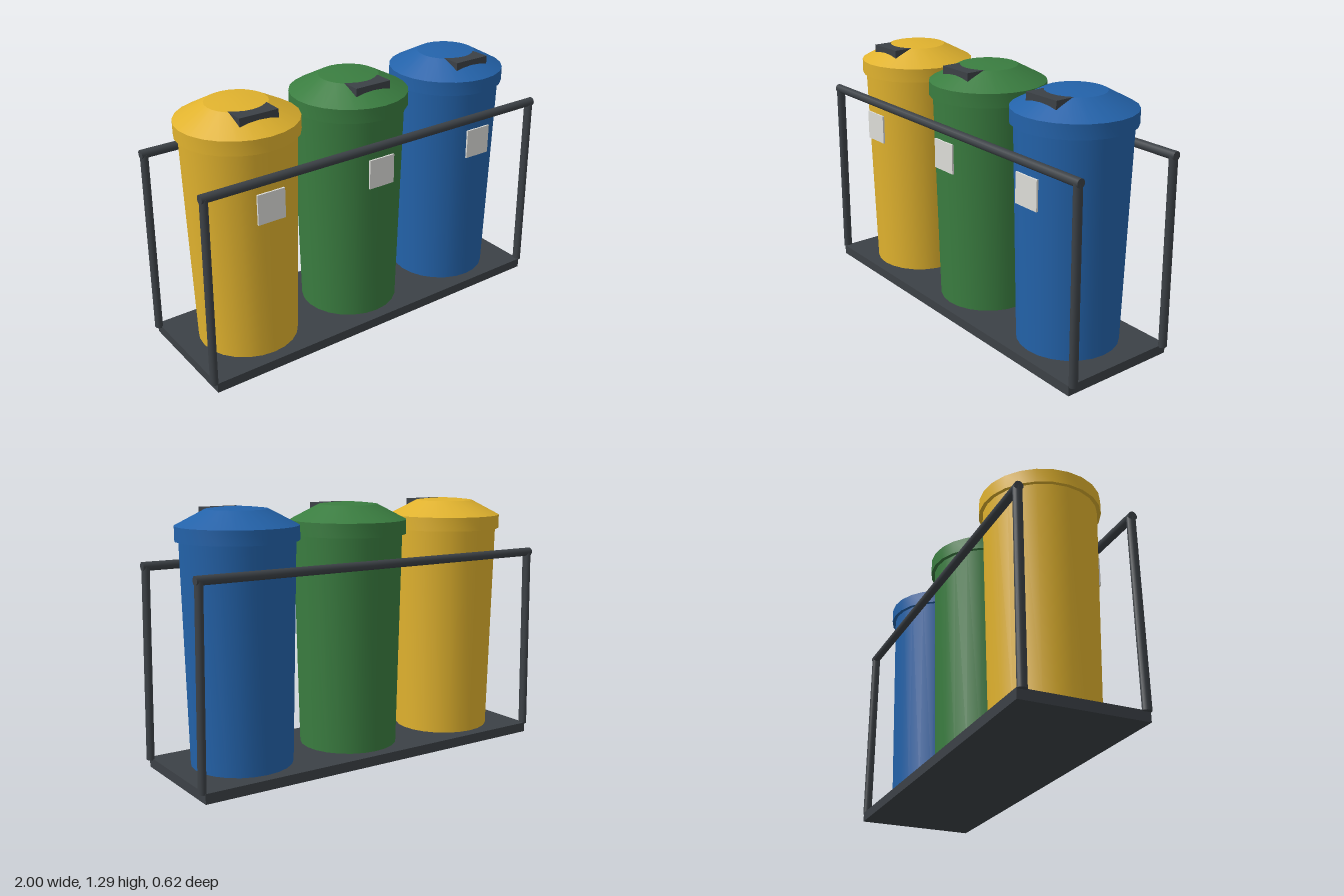
import * as THREE from 'three';
import { toCreasedNormals } from 'three/addons/utils/BufferGeometryUtils.js';

const material = (name, color) => {
  const m = new THREE.MeshStandardMaterial({ color });
  m.name = name;
  return m;
};

function addMesh(parent, name, geometry, mat, x = 0, y = 0, z = 0) {
  const mesh = new THREE.Mesh(geometry, mat);
  mesh.name = name;
  mesh.position.set(x, y, z);
  parent.add(mesh);
  return mesh;
}

// Turned shape, smooth around and sharp at the profile corners
const turned = (profile) => toCreasedNormals(
  new THREE.LatheGeometry(profile.map(([r, y]) => new THREE.Vector2(r, y)), 24), 0.33);

// Straight round bar between two points
function addBar(parent, name, from, to, radius, mat) {
  const a = new THREE.Vector3(...from), b = new THREE.Vector3(...to);
  const dir = b.clone().sub(a);
  const bar = addMesh(parent, name, new THREE.CylinderGeometry(radius, radius, dir.length(), 16), mat);
  bar.position.copy(a).add(b).multiplyScalar(0.5);
  bar.quaternion.setFromUnitVectors(new THREE.Vector3(0, 1, 0), dir.normalize());
  return bar;
}

export function createModel() {
  const model = new THREE.Group();
  model.name = 'recyclingStation';

  const darkGrey = material('dark grey metal', 0x3c4146);
  const labelGrey = material('label grey', 0xdcdcd8);
  const binColors = [
    material('yellow plastic', 0xe0b22e),
    material('green plastic', 0x3a7d40),
    material('blue plastic', 0x2362a9),
  ];

  // Base plate
  addMesh(model, 'basePlate', new THREE.BoxGeometry(1.95, 0.05, 0.62), darkGrey, 0, 0.025, 0);

  // Front and back frames: leaning posts and a top rail
  for (const [side, z] of [['front', 0.288], ['back', -0.288]]) {
    const frame = new THREE.Group();
    frame.name = side + 'Frame';
    model.add(frame);
    addBar(frame, 'topRail', [-0.985, 1, z], [0.985, 1, z], 0.022, darkGrey);
    for (const s of [-1, 1]) {
      const post = addBar(frame, s > 0 ? 'leftPost' : 'rightPost',
        [s * 0.981, 0.045, z], [s * 0.967, 1, z], 0.023, darkGrey);
      post.scale.x = 0.82;
    }
  }

  // Bins
  const bodyGeometry = turned([[0, 0.05], [0.25, 0.05], [0.275, 1.14]]);
  const lidGeometry = turned([[0.25, 1.13], [0.293, 1.13], [0.293, 1.2],
    [0.148, 1.276], [0.075, 1.284], [0, 1.287]]);
  const handleGeometry = new THREE.BoxGeometry(0.2, 0.042, 0.1);
  const labelGeometry = new THREE.BoxGeometry(0.145, 0.15, 0.0095);

  ['yellow', 'green', 'blue'].forEach((name, i) => {
    const bin = new THREE.Group();
    bin.name = name + 'Bin';
    bin.position.x = (i - 1) * 0.625;
    model.add(bin);
    addMesh(bin, 'body', bodyGeometry, binColors[i]);
    addMesh(bin, 'lid', lidGeometry, binColors[i]);
    addMesh(bin, 'lidHandle', handleGeometry, darkGrey, 0, 1.256, 0.15);
    addMesh(bin, 'label', labelGeometry, labelGrey, 0, 0.855, 0.2725);
  });

  return model;
}
